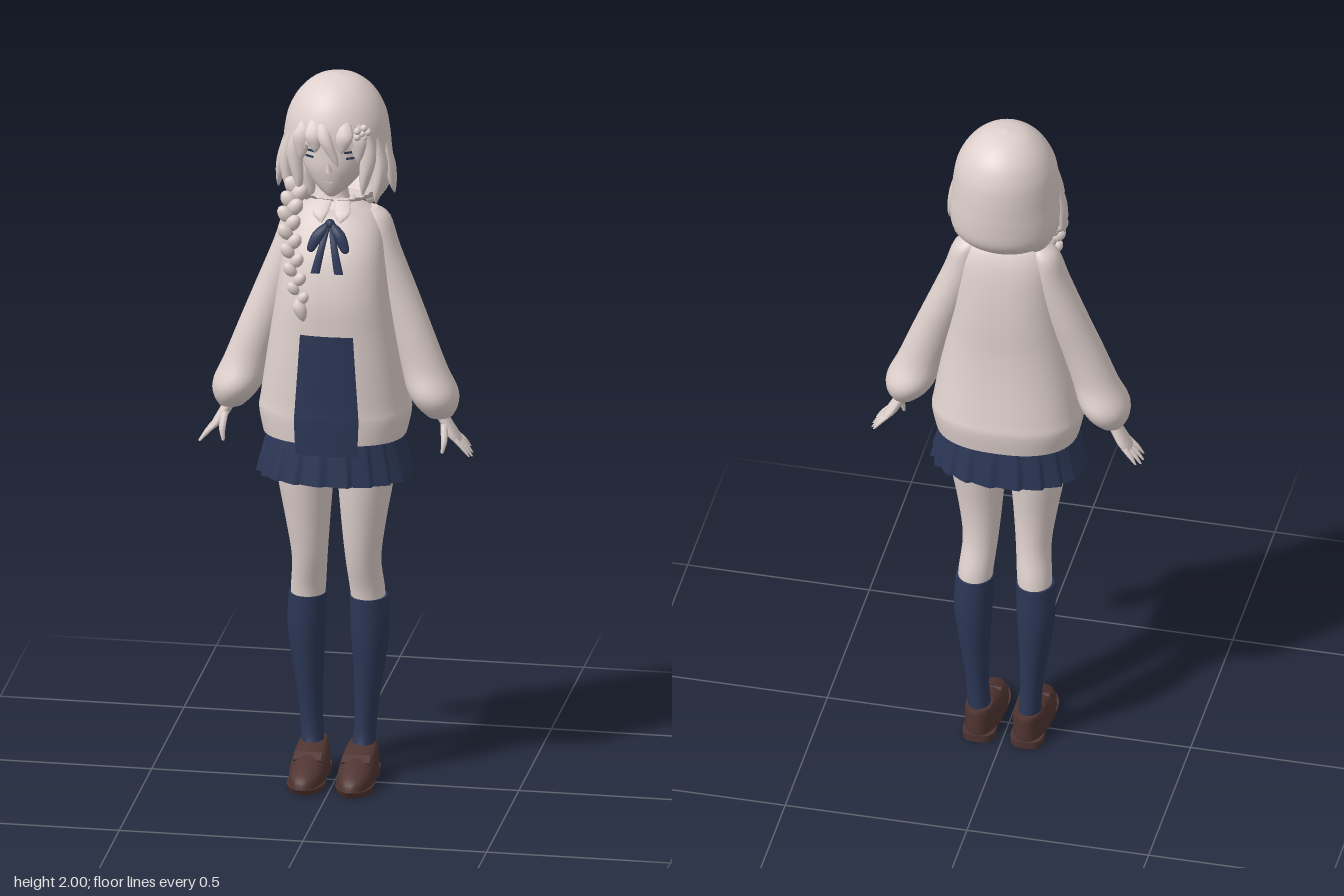
import * as THREE from 'three';

const mat = (name, color, side = THREE.DoubleSide) => {
  const m = new THREE.MeshStandardMaterial({ color, side });
  m.name = name;
  return m;
};

// Smooth skin over horizontal rings [x, y, z, rx, rz], listed from top to bottom.
function loft(rings, o = {}) {
  const { seg = 28, steps = 4, n = 2, from = 0, to = Math.PI * 2, caps = true, wave, keep } = o;
  const P = [], I = [], rows = [];
  const at = (k, c) => rings[Math.max(0, Math.min(rings.length - 1, k))][c];
  for (let i = 0; i < rings.length - 1; i++) {
    for (let s = 0; s < steps + (i === rings.length - 2 ? 1 : 0); s++) {
      const t = s / steps;
      rows.push([0, 1, 2, 3, 4].map((c) => {
        const a = at(i, c), b = at(i + 1, c);
        const ma = (b - at(i - 1, c)) / 2, mb = (at(i + 2, c) - a) / 2;
        return a + ma * t + (3 * (b - a) - 2 * ma - mb) * t * t + (2 * (a - b) + ma + mb) * t ** 3;
      }));
    }
  }
  if (caps) {
    const a = rows[0], b = rows[rows.length - 1];
    rows.unshift([a[0], a[1], a[2], 0, 0], a.slice());
    rows.push(b.slice(), [b[0], b[1], b[2], 0, 0]);
  }
  const pw = (v) => Math.sign(v) * Math.abs(v) ** (2 / n);
  const closed = to - from > 6.28, cols = closed ? seg : seg + 1;
  rows.forEach(([x, y, z, rx, rz], i) => {
    for (let j = 0; j < cols; j++) {
      const a = from + (to - from) * j / seg;
      const w = wave ? wave(a, i / (rows.length - 1)) : 1;
      P.push(x + pw(Math.sin(a)) * rx * w, y, z + pw(Math.cos(a)) * rz * w);
    }
  });
  for (let i = 0; i < rows.length - 1; i++) for (let j = 0; j < seg; j++) {
    const a = i * cols + j, b = i * cols + (j + 1) % cols, c = a + cols, d = b + cols;
    if (keep && !keep(P[c * 3], P[c * 3 + 1], P[c * 3 + 2])) continue;
    I.push(a, c, b, b, c, d);
  }
  const g = new THREE.BufferGeometry();
  g.setAttribute('position', new THREE.Float32BufferAttribute(P, 3));
  g.setIndex(I);
  g.computeVertexNormals();
  return g;
}

export function createModel() {
  const root = new THREE.Group();
  const pale = mat('pale fabric, skin and hair', 0xdfd1cd);
  const navy = mat('navy cloth', 0x2c3756);
  const brown = mat('brown leather', 0x4f3431);
  const add = (name, geo, material, pos, rot) => {
    const m = new THREE.Mesh(geo, material);
    m.name = name;
    if (pos) m.position.set(...pos);
    if (rot) m.rotation.set(...rot);
    root.add(m);
    return m;
  };

  // Cardigan body, open front panel and collar
  add('cardiganBody', loft([
    [0, 1.655, -0.015, 0.045, 0.042], [0, 1.64, -0.015, 0.075, 0.055], [0, 1.615, -0.018, 0.11, 0.07],
    [0, 1.57, -0.012, 0.132, 0.092], [0, 1.5, 0, 0.143, 0.115], [0, 1.4, 0.008, 0.155, 0.13],
    [0, 1.3, 0.008, 0.17, 0.132], [0, 1.2, 0.004, 0.185, 0.138], [0, 1.1, -0.004, 0.2, 0.146],
    [0, 1.06, -0.006, 0.205, 0.15], [0, 1.0, -0.003, 0.193, 0.145]], { n: 2.4, seg: 48 }), pale);
  add('frontPanel', loft([
    [0, 1.31, 0.008, 0.172, 0.136], [0, 1.2, 0.004, 0.189, 0.142], [0, 1.1, -0.004, 0.205, 0.151],
    [0, 1.06, -0.004, 0.209, 0.153], [0, 0.97, 0, 0.2, 0.148]],
  { n: 2.4, seg: 16, from: -0.36, to: 0.36, caps: false }), navy);
  add('neck', loft([[0, 1.75, -0.02, 0.035, 0.038], [0, 1.68, -0.018, 0.031, 0.034],
    [0, 1.63, -0.015, 0.045, 0.045]]), pale);

  // Pleated skirt
  const pleat = (a, t) => {
    const f = (a * 20 / (Math.PI * 2)) % 1;
    return 1 + 0.06 * t * ((f < 0.8 ? f / 0.8 : (1 - f) / 0.2) - 0.5);
  };
  add('skirt', loft([[0, 1.06, 0, 0.165, 0.125], [0, 0.98, 0.002, 0.186, 0.139], [0, 0.885, 0.003, 0.208, 0.15]],
    { n: 2.2, seg: 200, caps: false, wave: pleat }), navy);

  // Neck ribbon with knot, loops and tails
  add('ribbonKnot', new THREE.SphereGeometry(0.014, 12, 8), navy, [0, 1.61, 0.082]);
  for (const s of [-1, 1]) {
    add('collarFlap', loft([[s * 0.022, 1.662, 0.022, 0.022, 0.01], [s * 0.03, 1.635, 0.06, 0.022, 0.008],
      [s * 0.025, 1.612, 0.075, 0.004, 0.004]], { seg: 10 }), pale);
    add('ribbonLoop', loft([[s * 0.006, 1.615, 0.082, 0.005, 0.006], [s * 0.026, 1.59, 0.1, 0.018, 0.01],
      [s * 0.045, 1.55, 0.112, 0.013, 0.007], [s * 0.046, 1.54, 0.114, 0.004, 0.004]], { seg: 10 }), navy);
    add('ribbonTail', loft([[s * 0.004, 1.61, 0.085, 0.007, 0.005], [s * 0.018, 1.55, 0.116, 0.01, 0.004],
      [s * 0.032, 1.485, 0.13, 0.013, 0.004]], { seg: 10 }), navy);

    // Sleeve with gathered cuff
    add('sleeve', loft([
      [s * 0.09, 1.628, -0.028, 0.022, 0.025], [s * 0.108, 1.6, -0.03, 0.037, 0.046],
      [s * 0.122, 1.52, -0.025, 0.05, 0.056], [s * 0.163, 1.4, -0.02, 0.057, 0.057],
      [s * 0.204, 1.29, -0.012, 0.06, 0.056], [s * 0.24, 1.19, -0.008, 0.063, 0.06],
      [s * 0.264, 1.125, -0.008, 0.068, 0.079], [s * 0.276, 1.085, -0.008, 0.057, 0.068],
      [s * 0.284, 1.055, -0.008, 0.035, 0.042]]), pale);

    // Hand
    add('palm', loft([[s * 0.28, 1.07, -0.008, 0.018, 0.022], [s * 0.3, 1.035, -0.01, 0.017, 0.027],
      [s * 0.32, 1.0, -0.012, 0.016, 0.034], [s * 0.332, 0.985, -0.012, 0.011, 0.03]], { seg: 16 }), pale);
    for (let i = 0; i < 4; i++) {
      const z = 0.012 - i * 0.017, l = [0.9, 1, 0.95, 0.75][i];
      add('finger', loft([[s * 0.325, 0.995, z, 0.009, 0.009], [s * (0.325 + 0.024 * l), 0.995 - 0.025 * l, z * 1.15, 0.008, 0.0075],
        [s * (0.325 + 0.046 * l), 0.995 - 0.053 * l, z * 1.3, 0.003, 0.003]], { seg: 8 }), pale);
    }
    add('thumb', loft([[s * 0.298, 1.035, 0.01, 0.01, 0.01], [s * 0.302, 0.995, 0.032, 0.009, 0.008],
      [s * 0.298, 0.962, 0.04, 0.004, 0.004]], { seg: 8 }), pale);

    // Leg, sock and shoe
    add('leg', loft([[s * 0.085, 0.98, -0.008, 0.078, 0.085], [s * 0.083, 0.88, -0.008, 0.077, 0.083],
      [s * 0.076, 0.74, -0.009, 0.06, 0.064], [s * 0.073, 0.63, -0.02, 0.048, 0.054],
      [s * 0.08, 0.54, -0.042, 0.047, 0.051], [s * 0.084, 0.48, -0.048, 0.045, 0.05]]), pale);
    add('sock', loft([[s * 0.083, 0.517, -0.046, 0.051, 0.055], [s * 0.086, 0.42, -0.05, 0.052, 0.056],
      [s * 0.083, 0.32, -0.052, 0.043, 0.049], [s * 0.076, 0.2, -0.053, 0.032, 0.038],
      [s * 0.071, 0.12, -0.052, 0.03, 0.038], [s * 0.068, 0.07, -0.045, 0.033, 0.048]]), navy);
    add('shoe', loft([[s * 0.067, 0.098, -0.055, 0.034, 0.046], [s * 0.067, 0.088, -0.038, 0.041, 0.066],
      [s * 0.066, 0.068, -0.01, 0.047, 0.095], [s * 0.066, 0.042, 0.016, 0.051, 0.122],
      [s * 0.066, 0.018, 0.023, 0.051, 0.128]], { n: 2.2 }), brown);
    add('foreSole', loft([[s * 0.066, 0.018, 0.07, 0.052, 0.084], [s * 0.066, 0, 0.066, 0.048, 0.076]],
      { steps: 1 }), brown);
    add('heel', loft([[s * 0.066, 0.022, -0.063, 0.045, 0.044], [s * 0.066, 0, -0.063, 0.044, 0.043]],
      { steps: 1, n: 2.8 }), brown);
    add('shoeStrap', new THREE.BoxGeometry(0.076, 0.008, 0.03), brown, [s * 0.066, 0.077, 0.047], [0.5, 0, 0]);

    // Narrow eyes
    for (const [y, w] of [[1.817, 0.036], [1.8, 0.024]])
      add('eyeLine', new THREE.BoxGeometry(w, 0.005, 0.006), navy, [s * 0.055, y, 0.08], [0, s * 0.5, 0]);
  }

  // Head
  add('face', loft([[0, 1.95, -0.02, 0.07, 0.08], [0, 1.88, -0.01, 0.097, 0.102], [0, 1.82, -0.005, 0.099, 0.101],
    [0, 1.77, 0.002, 0.09, 0.096], [0, 1.73, 0.01, 0.068, 0.081], [0, 1.702, 0.025, 0.04, 0.057],
    [0, 1.685, 0.042, 0.016, 0.03]]), pale);
  add('nose', new THREE.ConeGeometry(0.01, 0.028, 8), pale, [0, 1.778, 0.1], [0.25, 0, 0]);
  add('mouth', new THREE.BoxGeometry(0.014, 0.003, 0.004), pale, [0, 1.732, 0.092]);

  // Bobbed hair shell, left open around the face
  add('hairShell', loft([[0, 2, -0.035, 0.004, 0.004], [0, 1.987, -0.035, 0.058, 0.062], [0, 1.95, -0.035, 0.102, 0.11],
    [0, 1.9, -0.033, 0.13, 0.135], [0, 1.85, -0.032, 0.141, 0.143], [0, 1.8, -0.033, 0.146, 0.143],
    [0, 1.75, -0.038, 0.15, 0.136], [0, 1.7, -0.045, 0.145, 0.122], [0, 1.665, -0.052, 0.12, 0.092],
    [0, 1.645, -0.055, 0.08, 0.06]],
  { seg: 64, keep: (x, y, z) => z < 0.03 || y > 1.86 - Math.abs(x) * 0.5 }), pale);

  // Fringe and side locks: start, middle, tip and width of each
  const lock = (name, a, b, c, w, t = 0.012) => add(name, loft([[...a, w * 0.4, t * 0.5], [...b, w, t],
    [...c.map((v, i) => (v * 2 + b[i]) / 3), w * 0.65, t * 0.8], [...c, 0.002, 0.002]], { seg: 12 }), pale);
  lock('centreFringe', [-0.025, 1.95, 0.055], [-0.012, 1.87, 0.108], [0.026, 1.785, 0.112], 0.019);
  for (const s of [-1, 1]) {
    lock('innerFringe', [s * 0.03, 1.94, 0.06], [s * 0.042, 1.875, 0.1], [s * 0.036, 1.82, 0.104], 0.024);
    lock('outerFringe', [s * 0.05, 1.93, 0.055], [s * 0.075, 1.865, 0.083], [s * 0.078, 1.79, 0.084], 0.024);
    lock('templeLock', [s * 0.08, 1.9, 0.055], [s * 0.1, 1.81, 0.058], [s * 0.085, 1.69, 0.062], 0.022, 0.02);
    lock('sideLock', [s * 0.11, 1.87, 0.03], [s * 0.128, 1.77, 0.022], [s * 0.115, 1.655, 0.025], 0.02, 0.028);
    lock('outerLock', [s * 0.132, 1.84, -0.01], [s * 0.147, 1.76, -0.012], [s * 0.158, 1.675, -0.02], 0.014, 0.03);
    lock('napeLock', [s * 0.08, 1.74, -0.06], [s * 0.1, 1.69, -0.07], [s * 0.085, 1.625, -0.055], 0.035, 0.035);
  }

  // Braid over the right shoulder
  const path = new THREE.CatmullRomCurve3([[-0.095, 1.7, 0.045], [-0.108, 1.63, 0.1], [-0.092, 1.53, 0.14], [-0.072, 1.42, 0.155]]
    .map((p) => new THREE.Vector3(...p)));
  for (let i = 0; i < 14; i++) {
    const p = path.getPoint(i / 13), s = i % 2 ? 1 : -1, r = 0.026 - i * 0.0007;
    add('braidStrand', new THREE.SphereGeometry(r, 14, 10), pale, [p.x + s * 0.011, p.y, p.z], [0.2, 0, s * -0.6])
      .scale.set(0.85, 1.15, 0.75);
  }
  lock('braidTuft', [-0.072, 1.42, 0.155], [-0.07, 1.395, 0.158], [-0.06, 1.355, 0.155], 0.019, 0.015);

  // Flower hair clip on the left
  for (let i = 0; i < 5; i++) {
    const a = i * Math.PI * 0.4;
    add('clipPetal', new THREE.SphereGeometry(0.01, 10, 8), pale,
      [0.088 + 0.014 * Math.cos(a), 1.875 + 0.014 * Math.sin(a), 0.086 - 0.012 * Math.cos(a)]);
  }
  add('clipCentre', new THREE.SphereGeometry(0.008, 10, 8), pale, [0.09, 1.875, 0.092]);
  return root;
}
